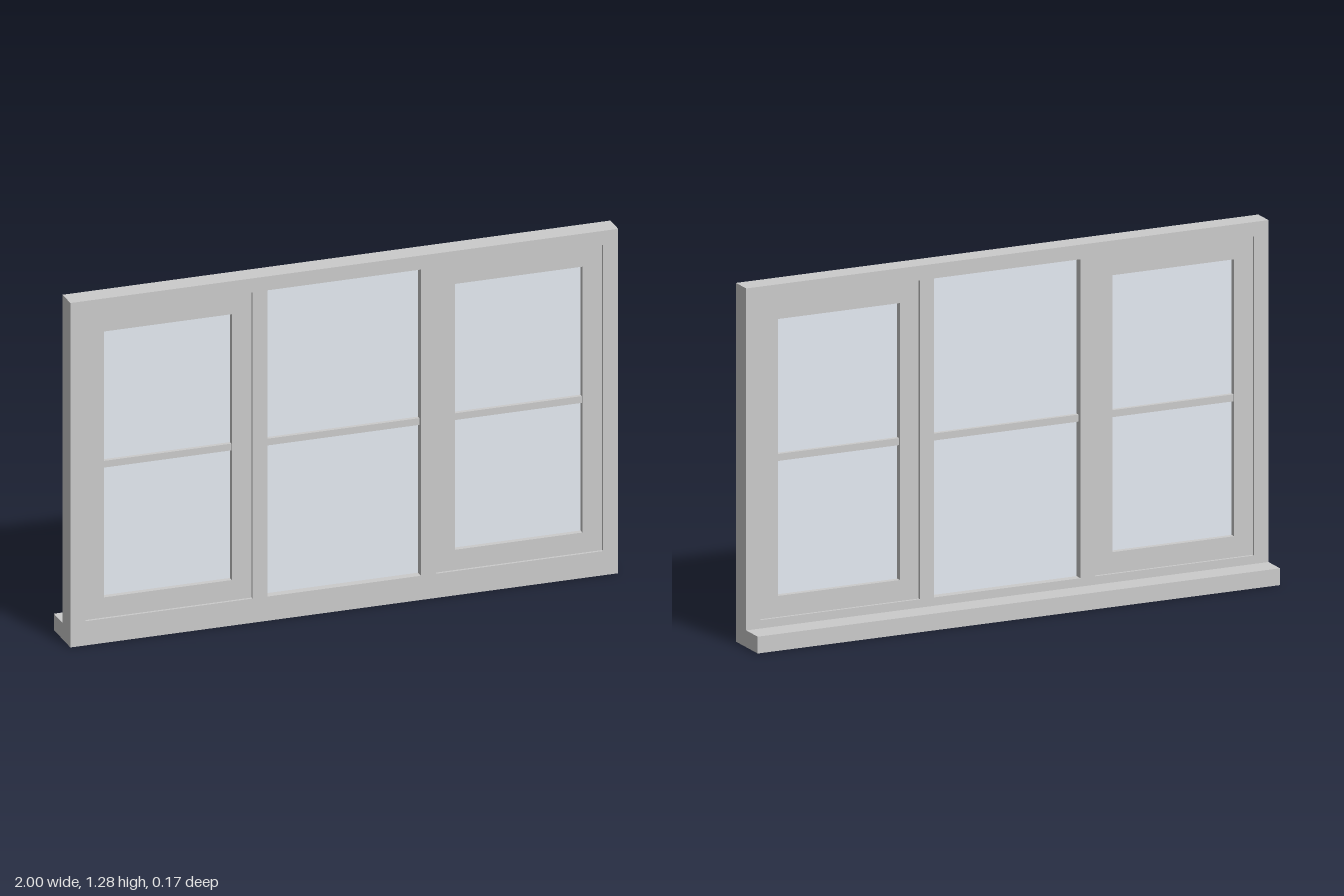
import * as THREE from 'three';

const frameMat = new THREE.MeshStandardMaterial({ color: 0xcccccc });
const glassMat = new THREE.MeshStandardMaterial({ color: 0xe4eaf2 });

const MID_Z = 0.045; // middle plane of the upright frame

// Rectangle outline from corner to corner
function rect(Type, [x0, x1, y0, y1]) {
  const p = new Type();
  p.moveTo(x0, y0);
  p.lineTo(x1, y0);
  p.lineTo(x1, y1);
  p.lineTo(x0, y1);
  p.closePath();
  return p;
}

// Flat panel with rectangular openings, centred on the frame's middle plane
function panel(name, outer, holes, depth) {
  const shape = rect(THREE.Shape, outer);
  holes.forEach((h) => shape.holes.push(rect(THREE.Path, h)));
  const geo = new THREE.ExtrudeGeometry(shape, { depth, bevelEnabled: false });
  geo.translate(0, 0, MID_Z - depth / 2);
  const mesh = new THREE.Mesh(geo, frameMat);
  mesh.name = name;
  return mesh;
}

// Box filling a rectangle, between two depths
function slab(name, [x0, x1, y0, y1], z0, z1, mat) {
  const mesh = new THREE.Mesh(new THREE.BoxGeometry(x1 - x0, y1 - y0, z1 - z0), mat);
  mesh.position.set((x0 + x1) / 2, (y0 + y1) / 2, (z0 + z1) / 2);
  mesh.name = name;
  return mesh;
}

// Glass pane with its horizontal glazing bar
function glazing(name, opening) {
  const g = new THREE.Group();
  g.name = name;
  const [x0, x1] = opening;
  g.add(
    slab('glass', opening, MID_Z - 0.01, MID_Z + 0.01, glassMat),
    slab('glazingBar', [x0, x1, 0.645, 0.67], MID_Z - 0.025, MID_Z + 0.025, frameMat)
  );
  return g;
}

export function createModel() {
  const model = new THREE.Group();
  model.name = 'window';

  const centre = [-0.28, 0.28, 0.09, 1.228];
  const sides = [
    { name: 'right', sash: [-0.945, -0.335, 0.09, 1.228], pane: [-0.873, -0.407, 0.165, 1.153] },
    { name: 'left', sash: [0.335, 0.945, 0.09, 1.228], pane: [0.407, 0.873, 0.165, 1.153] },
  ];

  // Main frame with three openings, and the sill behind it
  model.add(
    panel('frame', [-1, 1, 0, 1.28], [centre, ...sides.map((s) => s.sash)], 0.08),
    slab('sill', [-1, 1, 0, 0.06], -0.085, 0.005, frameMat)
  );

  // Fixed middle light
  model.add(glazing('centreGlazing', centre));

  // Opening sashes, set slightly back from the frame faces
  for (const s of sides) {
    model.add(panel(s.name + 'Sash', s.sash, [s.pane], 0.06), glazing(s.name + 'Glazing', s.pane));
  }

  return model;
}
